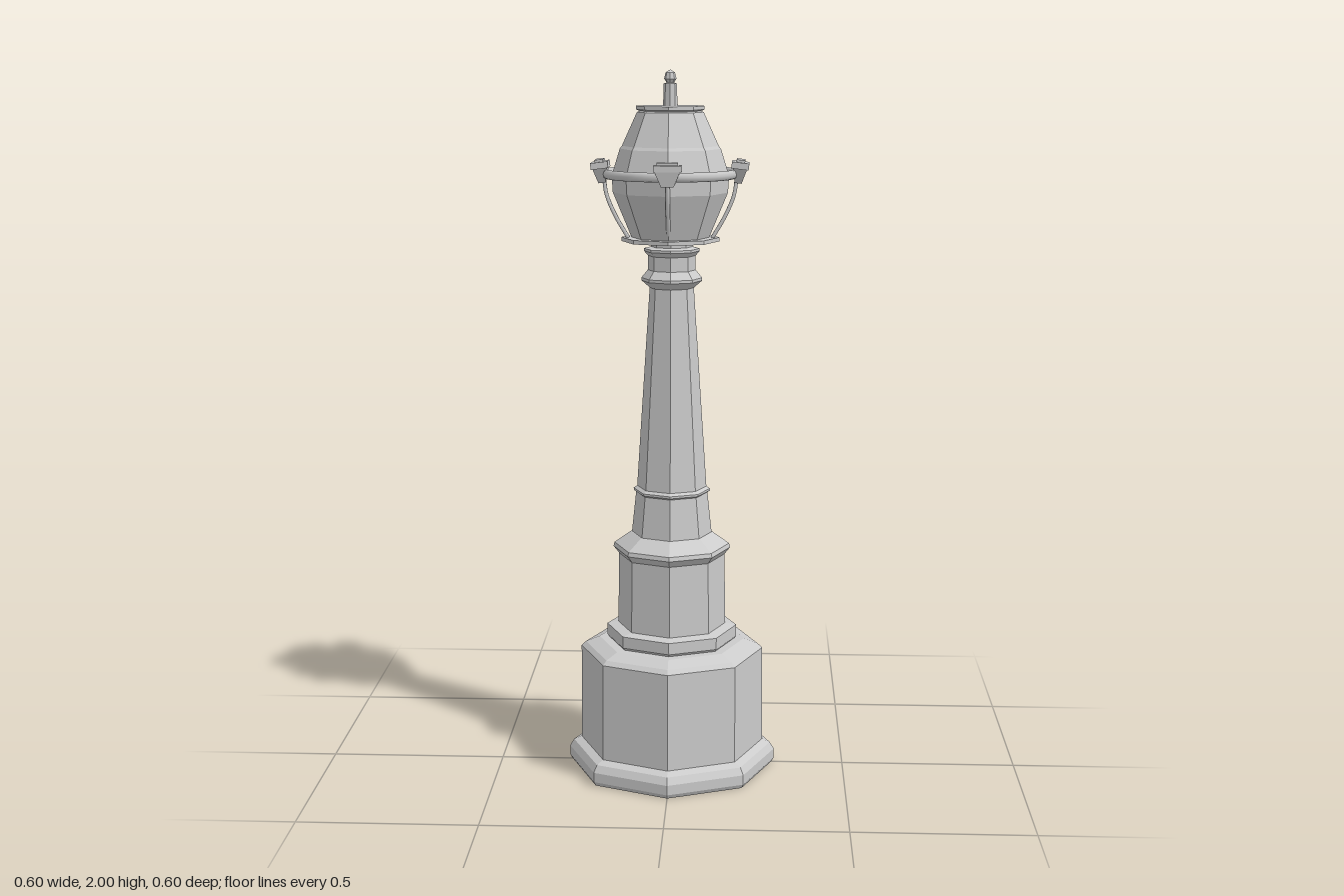
import * as THREE from 'three';

const flat = new THREE.MeshStandardMaterial({ color: 0xcccccc, flatShading: true });
const smooth = new THREE.MeshStandardMaterial({ color: 0xcccccc });

function add(parent, name, geometry, material = flat) {
  const mesh = new THREE.Mesh(geometry, material);
  mesh.name = name;
  parent.add(mesh);
  return mesh;
}

// Octagonal turned part from [radius, height] pairs, bottom to top
function turned(parent, name, profile) {
  const points = profile.map(([r, y]) => new THREE.Vector2(r, y));
  return add(parent, name, new THREE.LatheGeometry(points, 8));
}

// Tapered block with a rim and a raised pad, carried by a thin curved arm
function makeBracket(radius, halfWidth, halfDepth, tilt) {
  const bracket = new THREE.Group();
  const head = new THREE.Group();
  head.name = 'bracketHead';
  head.position.set(0, 1.725, radius);
  head.rotation.x = tilt;
  bracket.add(head);

  const taper = new THREE.CylinderGeometry(Math.SQRT2, Math.SQRT2 * 0.5, 0.04, 4).rotateY(Math.PI / 4);
  add(head, 'bracketTaper', taper.scale(halfWidth * 0.9, 1, halfDepth * 0.8)).position.y = -0.013;
  add(head, 'bracketRim', new THREE.BoxGeometry(halfWidth * 2, 0.018, halfDepth * 2)).position.y = 0.016;
  add(head, 'bracketPad', new THREE.BoxGeometry(halfWidth * 1.5, 0.008, halfDepth)).position.y = 0.028;

  const curve = new THREE.CatmullRomCurve3([
    new THREE.Vector3(0, 1.71, radius - 0.008),
    new THREE.Vector3(0, 1.66, radius - 0.015),
    new THREE.Vector3(0, 1.6, radius - 0.04),
    new THREE.Vector3(0, 1.54, radius - 0.075),
  ]);
  add(bracket, 'bracketArm', new THREE.TubeGeometry(curve, 14, 0.006, 6), smooth);
  return bracket;
}

export function createModel() {
  const model = new THREE.Group();
  model.name = 'lampPost';

  turned(model, 'base', [
    [0, 0], [0.293, 0], [0.3, 0.012], [0.3, 0.04], [0.288, 0.06], [0.265, 0.07],
    [0.263, 0.35], [0.25, 0.362], [0.21, 0.378], [0, 0.378],
  ]);
  turned(model, 'pedestal', [
    [0.18, 0.375], [0.187, 0.385], [0.187, 0.418], [0.155, 0.424], [0.152, 0.63],
    [0.168, 0.65], [0.165, 0.662], [0.118, 0.695], [0, 0.7],
  ]);
  turned(model, 'shaft', [
    [0.115, 0.69], [0.102, 0.812], [0.109, 0.817], [0.109, 0.823], [0.099, 0.83],
    [0.062, 1.4], [0.085, 1.42], [0.085, 1.428], [0.067, 1.45], [0.067, 1.49],
    [0.078, 1.503], [0.078, 1.51], [0.058, 1.515], [0.058, 1.535], [0, 1.535],
  ]);

  // Lantern head
  const lantern = new THREE.Group();
  lantern.name = 'lantern';
  lantern.position.x = -0.004;
  model.add(lantern);

  turned(lantern, 'lanternPlate', [[0, 1.53], [0.137, 1.53], [0.137, 1.541], [0, 1.541]]);
  turned(lantern, 'lanternBowl', [[0.108, 1.54], [0.16, 1.665], [0.163, 1.715], [0, 1.715]]);
  turned(lantern, 'lanternRoof', [
    [0.163, 1.712], [0.157, 1.73], [0.14, 1.785], [0.134, 1.793], [0.092, 1.885],
    [0.085, 1.888], [0.094, 1.892], [0.094, 1.902], [0, 1.902],
  ]);
  turned(lantern, 'finial', [
    [0.02, 1.9], [0.018, 1.962], [0.01, 1.965], [0.017, 1.975], [0.013, 1.992], [0, 2],
  ]);

  // Slightly oval hoop around the lantern
  const hoop = new THREE.TorusGeometry(0.18, 0.008, 8, 40).rotateX(Math.PI / 2);
  const ring = add(lantern, 'hoop', hoop, smooth);
  ring.scale.set(1, 1.6, 0.955);
  ring.position.y = 1.717;

  // Four brackets: wider and tilted at the sides
  ['front', 'left', 'back', 'right'].forEach((side, i) => {
    const bracket = i % 2 ? makeBracket(0.192, 0.042, 0.024, 0.12) : makeBracket(0.174, 0.038, 0.017, 0);
    bracket.name = side + 'Bracket';
    bracket.rotation.y = i * Math.PI / 2;
    if (i % 2) bracket.position.z = 0.006;
    lantern.add(bracket);
  });

  return model;
}
